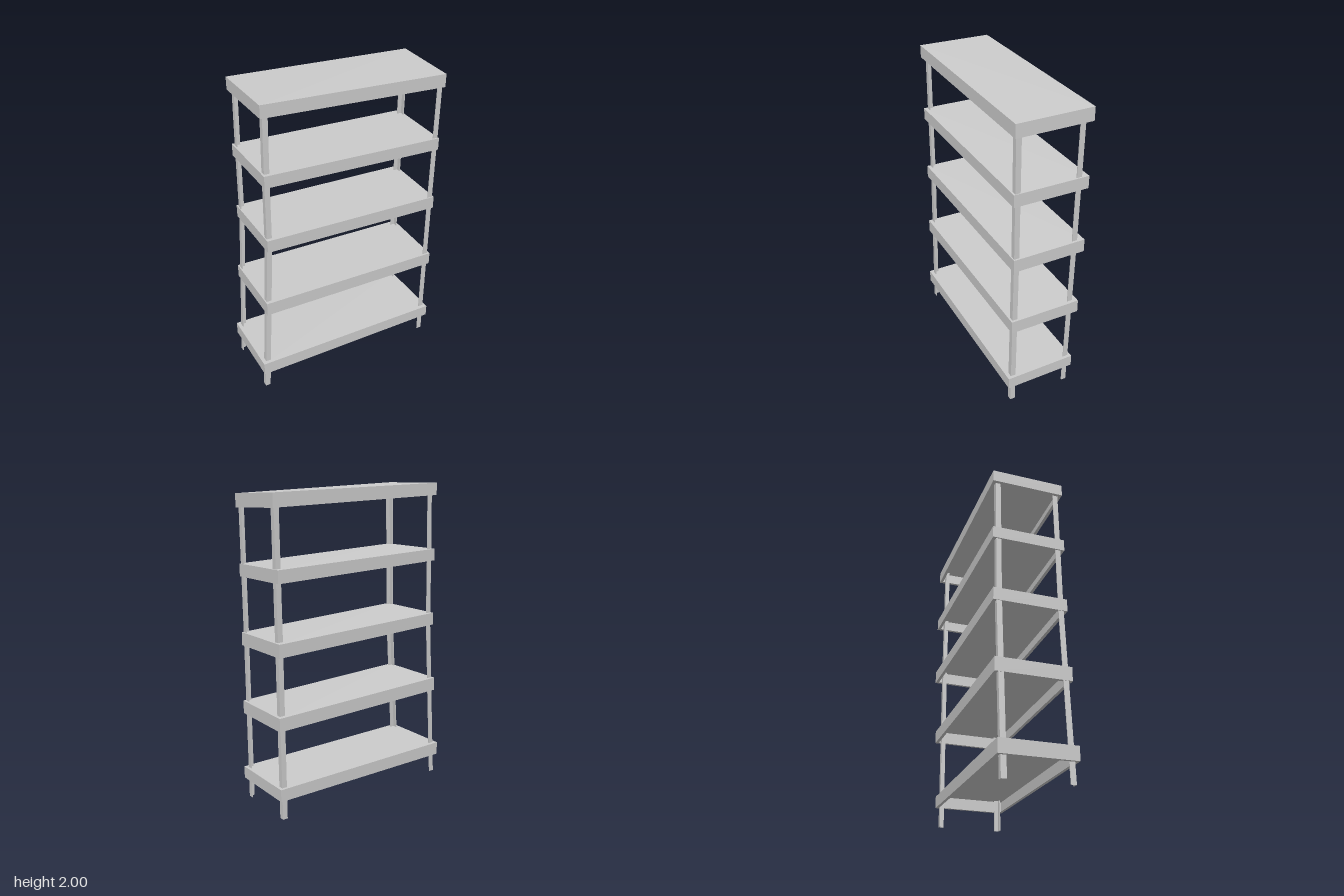
import * as THREE from 'three';

const material = new THREE.MeshStandardMaterial({ color: 0xcccccc, side: THREE.DoubleSide, flatShading: true });

function facetedMesh(name, points, index) {
  const indexed = new THREE.BufferGeometry();
  indexed.setAttribute('position', new THREE.Float32BufferAttribute(points.flat(), 3));
  indexed.setIndex(index);
  const geometry = indexed.toNonIndexed();
  geometry.computeVertexNormals();
  const mesh = new THREE.Mesh(geometry, material);
  mesh.name = name;
  return mesh;
}

// Joins successive rings of n points with quads; flip reverses the facing
function bridge(n, rings, flip) {
  const index = [];
  for (let r = 0; r < rings - 1; r++) {
    for (let i = 0; i < n; i++) {
      const a = r * n + i, b = r * n + (i + 1) % n, c = a + n, d = b + n;
      index.push(...(flip ? [a, c, b, b, c, d] : [a, b, c, b, d, c]));
    }
  }
  return index;
}

// Sheet tray, open below: top panel, folded-down sides and a narrow inward lip
// corners: top points in the order front left end, front right end, back right end, back left end
function makeShelf(name, corners, depths) {
  const lip = 0.02;
  const inward = [[1, -1], [-1, -1], [-1, 1], [1, 1]];
  const bottom = corners.map(([x, y, z], i) => [x, y - depths[i], z]);
  const inner = bottom.map(([x, y, z], i) => [x + inward[i][0] * lip, y, z + inward[i][1] * lip]);
  const index = bridge(4, 3, true);
  index.push(0, 1, 2, 0, 2, 3);
  return facetedMesh(name, [...corners, ...bottom, ...inner], index);
}

// Angle-section post following its outer corner; sx, sz point inward
function makePost(name, path, sx, sz) {
  const w = 0.033, t = 0.006;
  const section = [[0, 0], [w, 0], [w, t], [t, t], [t, w], [0, w]];
  const points = path.flatMap(([x, y, z]) => section.map(([u, v]) => [x + u * sx, y, z + v * sz]));
  const flip = sx * sz > 0;
  const index = bridge(6, path.length, flip);
  const top = (path.length - 1) * 6;
  for (let i = 1; i < 5; i++) {
    index.push(...(flip ? [0, i, i + 1] : [0, i + 1, i]));
    index.push(...(flip ? [top, top + i + 1, top + i] : [top, top + i, top + i + 1]));
  }
  return facetedMesh(name, points, index);
}

export function createModel() {
  const group = new THREE.Group();
  group.name = 'shelvingUnit';

  // Shelves lean and twist: left end x/top/depth, then the two corners of the other end
  const shelves = [
    { x: -0.65, y: 0.223, d: 0.085, front: [0.62, 0.203, 0.245], back: [0.622, 0.207, -0.215], e: 0.077 },
    { x: -0.605, y: 0.702, d: 0.087, front: [0.62, 0.655, 0.228], back: [0.63, 0.663, -0.23], e: 0.083 },
    { x: -0.578, y: 1.155, d: 0.08, front: [0.62, 1.1, 0.22], back: [0.63, 1.11, -0.245], e: 0.082 },
    { x: -0.575, y: 1.58, d: 0.076, front: [0.618, 1.525, 0.225], back: [0.63, 1.533, -0.245], e: 0.078 },
    { x: -0.578, y: 2, d: 0.077, front: [0.63, 1.942, 0.228], back: [0.65, 1.955, -0.237], e: 0.082 },
  ];
  shelves.forEach((s, i) => {
    const corners = [[s.x, s.y, 0.245], s.front, s.back, [s.x, s.y, -0.22]];
    group.add(makeShelf(`shelf${i + 1}`, corners, [s.d, s.e, s.e, s.d]));
  });

  // Posts at the leaning end
  const lean = [[-0.64, 0.01], [-0.602, 0.62], [-0.573, 1.1], [-0.566, 1.54], [-0.555, 1.997]];
  group.add(makePost('frontRightPost', lean.map(([x, y]) => [x, y, 0.222]), 1, -1));
  group.add(makePost('backRightPost', lean.map(([x, y]) => [x, y, -0.198]), 1, 1));

  // Posts at the upright end
  group.add(makePost('frontLeftPost', [[0.6, 0, 0.222], [0.61, 1.1, 0.214], [0.617, 1.942, 0.216]], -1, -1));
  group.add(makePost('backLeftPost', [[0.6, 0, -0.195], [0.614, 1.1, -0.203], [0.625, 1.954, -0.203]], -1, 1));
  return group;
}
